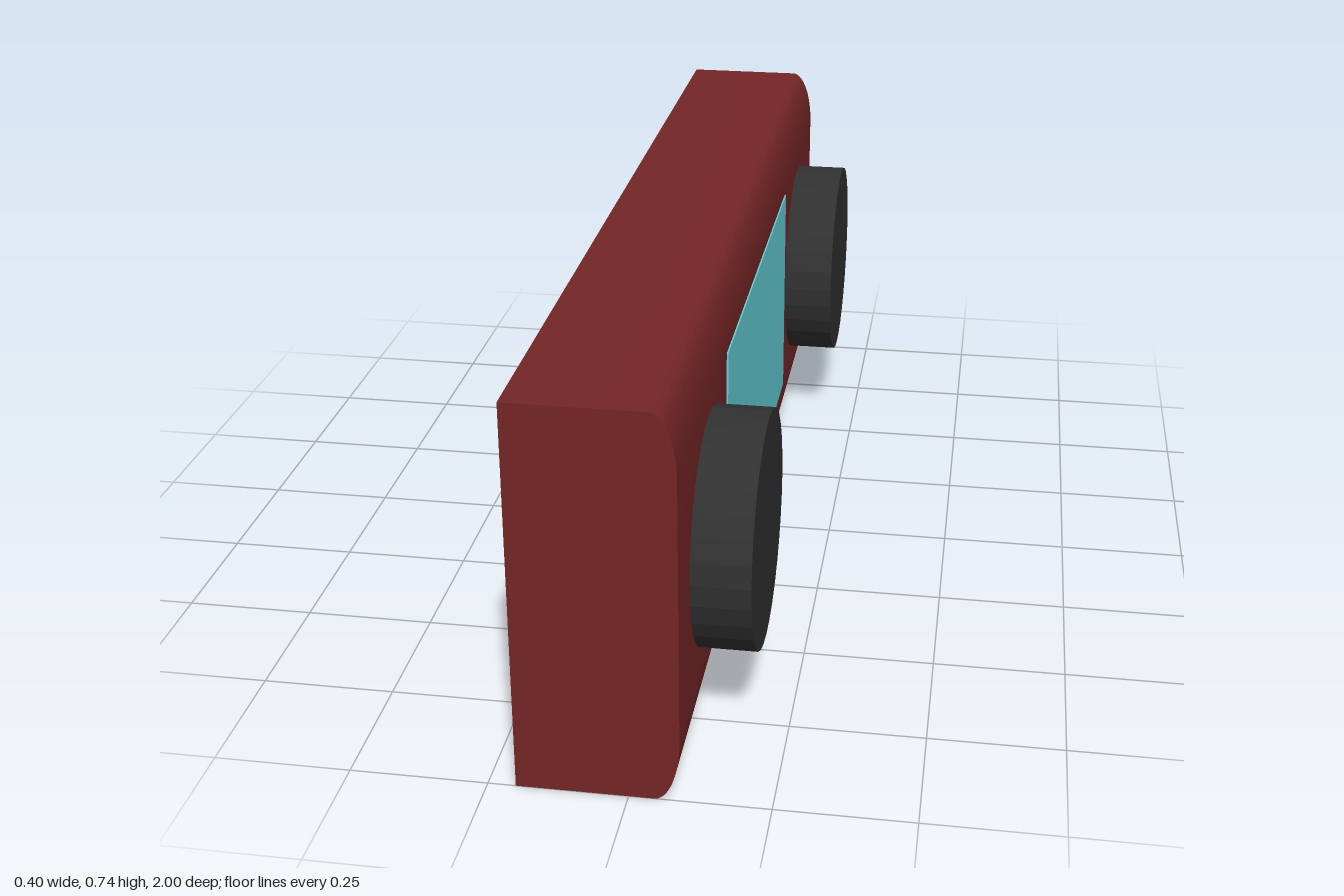
import * as THREE from 'three';
import { toCreasedNormals } from 'three/addons/utils/BufferGeometryUtils.js';

const HEIGHT = 0.737, BACK = -0.2, FACE = 0.09;

export function createModel() {
  const red = new THREE.MeshStandardMaterial({ color: 0x742525 });
  red.name = 'darkRed';
  const black = new THREE.MeshStandardMaterial({ color: 0x313131, flatShading: true });
  black.name = 'charcoal';
  const cyan = new THREE.MeshStandardMaterial({ color: 0x63d0d9 });
  cyan.name = 'screenCyan';

  const model = new THREE.Group();
  model.name = 'controlPanel';
  const add = (name, geometry, material, x, y, z) => {
    const mesh = new THREE.Mesh(geometry, material);
    mesh.name = name;
    mesh.position.set(x, y, z);
    model.add(mesh);
    return mesh;
  };

  // Housing: flat back, long face edges rounded to a quarter ellipse
  const rx = 0.045, ry = 0.12;
  const profile = new THREE.Shape();
  profile.moveTo(BACK, 0);
  profile.lineTo(FACE - rx, 0);
  profile.absellipse(FACE - rx, ry, rx, ry, -Math.PI / 2, 0, false);
  profile.absellipse(FACE - rx, HEIGHT - ry, rx, ry, 0, Math.PI / 2, false);
  profile.lineTo(BACK, HEIGHT);
  profile.closePath();
  const housing = new THREE.ExtrudeGeometry(profile, { depth: 2, bevelEnabled: false, curveSegments: 10 });
  add('housing', toCreasedNormals(housing, 0.6), red, 0, 0, -1);

  // Display plate
  add('screen', new THREE.BoxGeometry(0.006, 0.47, 0.908), cyan, FACE, 0.37, 0);

  // Round knobs at either end of the face
  const knob = new THREE.CylinderGeometry(0.218, 0.218, 0.106, 32);
  knob.rotateZ(-Math.PI / 2);
  add('frontKnob', knob, black, 0.145, 0.369, 0.682);
  add('rearKnob', knob, black, 0.145, 0.369, -0.692);

  return model;
}
